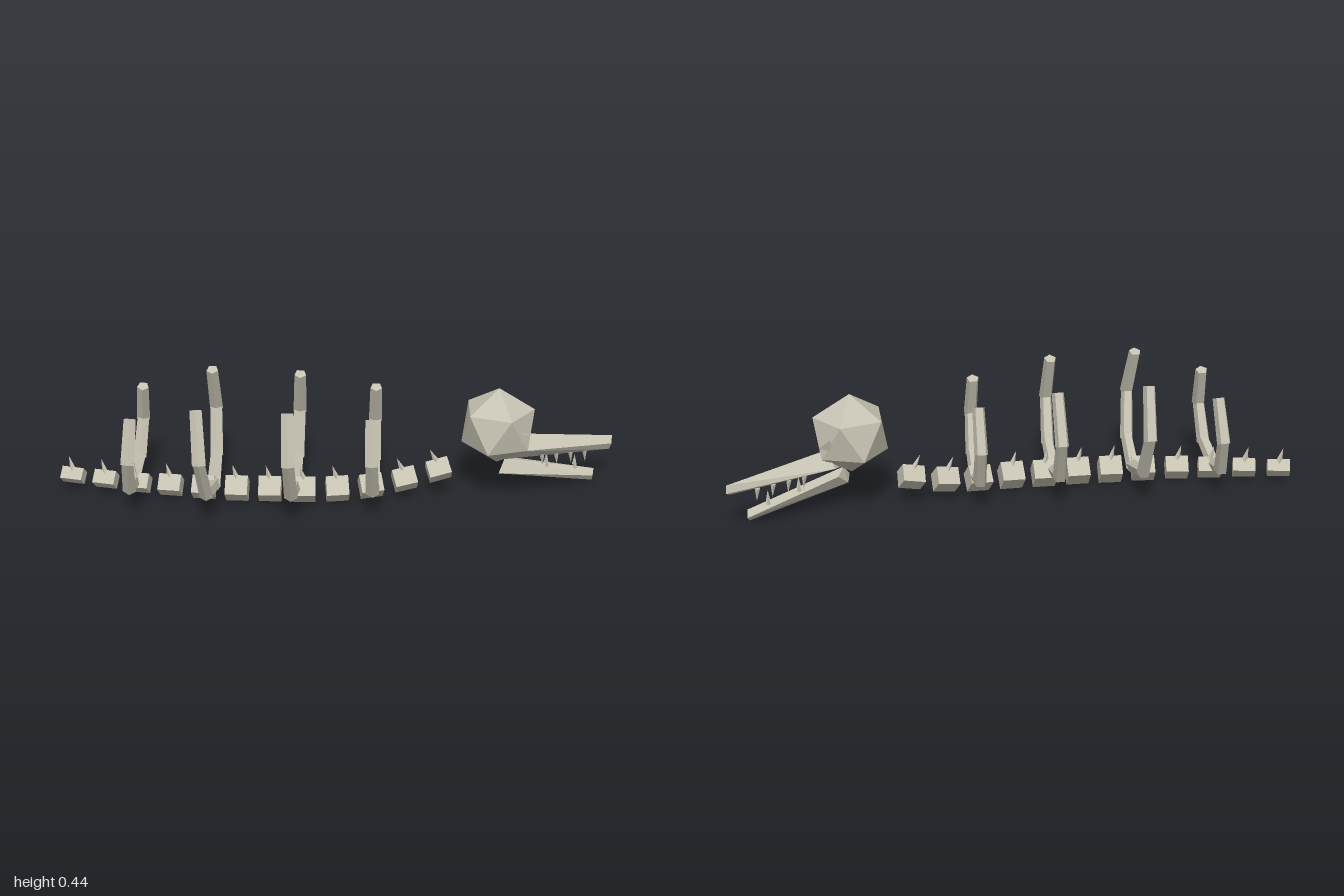
import * as THREE from 'three';
import { ConvexGeometry } from 'three/addons/geometries/ConvexGeometry.js';

const V = (x, y, z) => new THREE.Vector3(x, y, z);
const bone = new THREE.MeshStandardMaterial({ color: 0xc6c2b2, flatShading: true });
bone.name = 'bone';

export function createModel() {
  const model = new THREE.Group();
  model.name = 'skeleton';

  const add = (name, geometry, parent = model) => {
    const mesh = new THREE.Mesh(geometry, bone);
    mesh.name = name;
    parent.add(mesh);
    return mesh;
  };
  // Tapered bar from a to b
  const bar = (name, a, b, ra, rb, sides, parent) => {
    const mesh = add(name, new THREE.CylinderGeometry(rb, ra, a.distanceTo(b), sides), parent);
    mesh.position.copy(a).lerp(b, 0.5);
    mesh.quaternion.setFromUnitVectors(V(0, 1, 0), b.clone().sub(a).normalize());
    return mesh;
  };

  // Spine: boxes rolled onto an edge along a gentle curve, each with a spike
  const spine = new THREE.Group();
  spine.name = 'spine';
  model.add(spine);
  const centres = [
    [-0.955, 0.067, -0.08], [-0.834, 0.065, -0.055], [-0.712, 0.063, -0.033], [-0.595, 0.063, -0.018],
    [-0.474, 0.062, -0.006], [-0.355, 0.062, 0], [-0.237, 0.062, 0.002], [-0.115, 0.06, 0],
    [0.003, 0.062, -0.006], [0.123, 0.066, -0.026], [0.243, 0.08, -0.055], [0.365, 0.107, -0.08],
  ].map(p => V(...p));
  centres.forEach((c, i) => {
    const before = centres[Math.max(i - 1, 0)], after = centres[Math.min(i + 1, 11)];
    const t = Math.min(i / 5, 1, (16 - i) / 8);
    const size = 0.046 + 0.027 * t;
    const vertebra = new THREE.Group();
    vertebra.name = 'vertebra';
    vertebra.position.copy(c);
    vertebra.quaternion.setFromUnitVectors(V(1, 0, 0), after.clone().sub(before).normalize());
    spine.add(vertebra);
    add('vertebraBody', new THREE.BoxGeometry(0.08, size, size), vertebra).rotation.x = 0.82;
    const top = size * 0.6;
    bar('spike', V(0, top - 0.01, 0), V(-0.015, top + 0.048, 0), 0.013, 0, 4, vertebra);
  });

  // Rib pairs: three straight segments each
  // [base x, centre z, width scale, height scale, front lean, back lean]
  const ribs = [
    [-0.73, -0.025, 0.82, 0.85, 0.022, 0.03],
    [-0.438, -0.004, 1.02, 1.02, -0.035, -0.012],
    [-0.15, -0.004, 0.99, 0.99, -0.012, 0.016],
    [0.132, -0.025, 0.82, 0.87, -0.008, 0.006],
  ];
  for (const [x, cz, w, h, front, back] of ribs) {
    for (const side of [1, -1]) {
      const rib = new THREE.Group();
      rib.name = side > 0 ? 'frontRib' : 'backRib';
      model.add(rib);
      const lean = side > 0 ? front : back;
      const p = [[0, 0, 0], [0.168, 0.046, 0.3], [0.245, 0.197, 0.65], [0.178, 0.362, 1]]
        .map(([dz, dy, f]) => V(x + lean * f, 0.073 + dy * h, cz + side * dz * w));
      for (let i = 0; i < 3; i++) {
        const d = p[i + 1].clone().sub(p[i]).normalize().multiplyScalar(0.009);
        const end = i < 2 ? p[i + 1].clone().add(d) : p[i + 1];
        bar('ribSegment', p[i].clone().sub(d), end, 0.025, 0.022, 5, rib);
      }
    }
  }

  // Skull: icosahedron standing on a corner
  const skull = add('skull', new THREE.IcosahedronGeometry(0.143, 0));
  skull.rotation.z = -Math.atan(2 / (1 + Math.sqrt(5)));
  skull.position.set(0.572, 0.283, -0.082);

  // Small angular eyes on both sides
  for (const side of [1, -1]) {
    const eye = add('eye', new THREE.TetrahedronGeometry(0.032));
    eye.position.set(0.655, 0.278, -0.082 + side * 0.087);
    eye.rotation.set(0.5, side * 0.6, 0.3);
  }

  // Jaws: tapered wedges, corners ordered left, top, right, bottom
  const jaw = (name, base, tip) =>
    add(name, new ConvexGeometry([...base, ...tip].map(p => V(...p))));
  jaw('upperJaw',
    [[0.63, 0.207, -0.022], [0.66, 0.237, -0.115], [0.63, 0.185, -0.16], [0.6, 0.157, -0.068]],
    [[0.995, 0.162, -0.203], [1, 0.178, -0.24], [1, 0.15, -0.246], [0.99, 0.134, -0.217]]);
  jaw('lowerJaw',
    [[0.578, 0.115, -0.037], [0.6, 0.157, -0.075], [0.62, 0.14, -0.125], [0.585, 0.1, -0.085]],
    [[0.93, 0.048, -0.168], [0.935, 0.066, -0.194], [0.935, 0.042, -0.211], [0.93, 0.022, -0.187]]);

  // Teeth in two rows on each jaw
  for (let i = 0; i < 4; i++) {
    for (const side of [1, -1]) {
      const f = 0.36 + i * 0.14, x = 0.6 + 0.38 * f;
      const z = -0.085 - 0.145 * f + side * 0.018 * (1.2 - f * 0.5);
      const yUp = 0.168 - 0.028 * f - side * 0.003;
      bar('upperTooth', V(x, yUp, z), V(x + 0.004, yUp - 0.045, z), 0.009, 0, 4);
      if (i % 2 === 0) {
        const yLow = 0.15 - 0.095 * f;
        bar('lowerTooth', V(x + 0.02, yLow - 0.008, z), V(x + 0.02, yLow + 0.032, z), 0.008, 0, 4);
      }
    }
  }
  return model;
}
